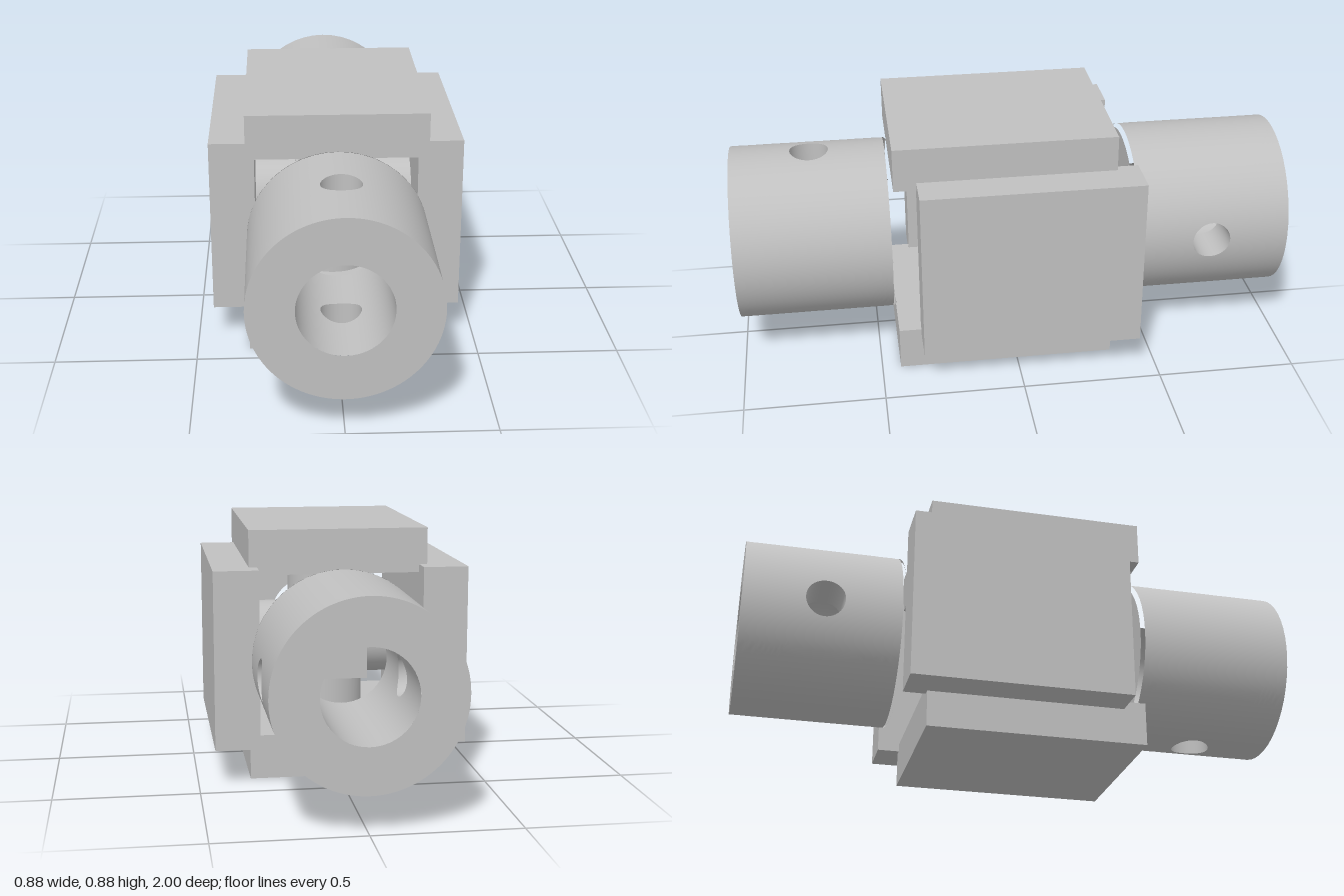
import * as THREE from 'three';
import { mergeGeometries } from 'three/addons/utils/BufferGeometryUtils.js';

const CY = 0.4425;                 // height of the joint axis
const R = 0.314, BORE = 0.157;     // hub radius, bore radius
const HOLE = 0.069, HOLE_Z = 0.715; // cross hole
const Z0 = 0.432, Z1 = 1, FILLET = 0.013;

// Surface from fn(u, v) -> [point, normal]
function surface(nu, nv, fn, flip) {
  const pos = [], nor = [], uv = [], index = [];
  for (let i = 0; i <= nu; i++) {
    for (let j = 0; j <= nv; j++) {
      const [p, n] = fn(i / nu, j / nv);
      pos.push(...p);
      nor.push(...n);
      uv.push(i / nu, j / nv);
    }
  }
  for (let i = 0; i < nu; i++) {
    for (let j = 0; j < nv; j++) {
      const a = i * (nv + 1) + j, b = a + nv + 1;
      if (flip) index.push(a, a + 1, b, b, a + 1, b + 1);
      else index.push(a, b, a + 1, b, b + 1, a + 1);
    }
  }
  const g = new THREE.BufferGeometry();
  g.setAttribute('position', new THREE.Float32BufferAttribute(pos, 3));
  g.setAttribute('normal', new THREE.Float32BufferAttribute(nor, 3));
  g.setAttribute('uv', new THREE.Float32BufferAttribute(uv, 2));
  g.setIndex(index);
  return g;
}

const holeAngle = v => v * Math.PI * 2 - Math.PI * 0.75;

// Point on the border of the square -1..1, anticlockwise from its lower left corner
function squareBorder(v) {
  const t = v * 4, side = Math.min(3, Math.floor(t)), f = (t - side) * 2 - 1;
  return [[f, -1], [1, f], [-f, 1], [-1, -f]][side];
}

// Half of a cylinder wall, pierced by the cross hole
function piercedHalf(radius, zMin, sign, outward) {
  return surface(14, 96, (u, v) => {
    const a = holeAngle(v), [bx, bz] = squareBorder(v);
    const t0 = Math.asin(HOLE * Math.cos(a) / radius), z0 = HOLE_Z + HOLE * Math.sin(a);
    const t1 = bx * Math.PI / 2, z1 = bz < 0
      ? THREE.MathUtils.lerp(zMin, (zMin + Z1) / 2, bz + 1)
      : THREE.MathUtils.lerp((zMin + Z1) / 2, Z1, bz);
    const t = t0 + (t1 - t0) * u, z = z0 + (z1 - z0) * u;
    const nx = Math.sin(t) * sign, ny = Math.cos(t) * sign, k = outward ? 1 : -1;
    return [[radius * nx, radius * ny, z], [nx * k, ny * k, 0]];
  }, outward);
}

// Wall of the cross hole between bore and outside
function holeWall(sign) {
  return surface(1, 96, (u, v) => {
    const a = holeAngle(v), x = HOLE * Math.cos(a), rad = u ? R : BORE;
    return [
      [x * sign, Math.sqrt(rad * rad - x * x) * sign, HOLE_Z + HOLE * Math.sin(a)],
      [-Math.cos(a) * sign, 0, -Math.sin(a)],
    ];
  }, true);
}

function hubGeometry() {
  const parts = [];
  for (const sign of [1, -1]) {
    parts.push(piercedHalf(R, Z0 + FILLET, sign, true));
    parts.push(piercedHalf(BORE, Z0, sign, false));
    parts.push(holeWall(sign));
  }
  // rounded inner rim
  parts.push(surface(6, 96, (u, v) => {
    const f = u * Math.PI / 2, t = v * Math.PI * 2, c = Math.cos(f), s = Math.sin(f);
    const rad = R - FILLET + FILLET * c;
    return [
      [rad * Math.cos(t), rad * Math.sin(t), Z0 + FILLET - FILLET * s],
      [c * Math.cos(t), c * Math.sin(t), -s],
    ];
  }, true));
  // flat end faces
  parts.push(new THREE.RingGeometry(BORE, R, 96).translate(0, 0, Z1));
  parts.push(new THREE.RingGeometry(BORE, R - FILLET, 96).rotateY(Math.PI).translate(0, 0, Z0));
  return mergeGeometries(parts);
}

export function createModel() {
  const steel = new THREE.MeshStandardMaterial({ color: 0xc0c0c0 });
  steel.name = 'grey steel';
  const model = new THREE.Group();
  model.name = 'universalJoint';

  const add = (parent, name, geometry) => {
    const mesh = new THREE.Mesh(geometry, steel);
    mesh.name = name;
    parent.add(mesh);
    return mesh;
  };

  // Two equal yokes, the back one turned round and rolled a quarter turn
  const hub = hubGeometry();
  const arm = new THREE.BoxGeometry(2 * R, 0.157, 0.785);
  for (const name of ['frontYoke', 'backYoke']) {
    const yoke = new THREE.Group();
    yoke.name = name;
    yoke.position.y = CY;
    if (name === 'backYoke') yoke.rotation.set(0, Math.PI, Math.PI / 2);
    add(yoke, 'hub', hub);
    for (const sign of [1, -1]) {
      add(yoke, sign > 0 ? 'firstArm' : 'secondArm', arm).position.set(0, sign * 0.364, 0.04);
    }
    model.add(yoke);
  }

  // Centre block with cross pins reaching the arms
  const cross = new THREE.Group();
  cross.name = 'cross';
  cross.position.y = CY;
  add(cross, 'centreBlock', new THREE.BoxGeometry(0.278, 0.278, 0.278));
  const pin = new THREE.CylinderGeometry(0.138, 0.138, 0.6, 64);
  add(cross, 'verticalPin', pin);
  add(cross, 'horizontalPin', pin).rotation.z = Math.PI / 2;
  model.add(cross);

  return model;
}
